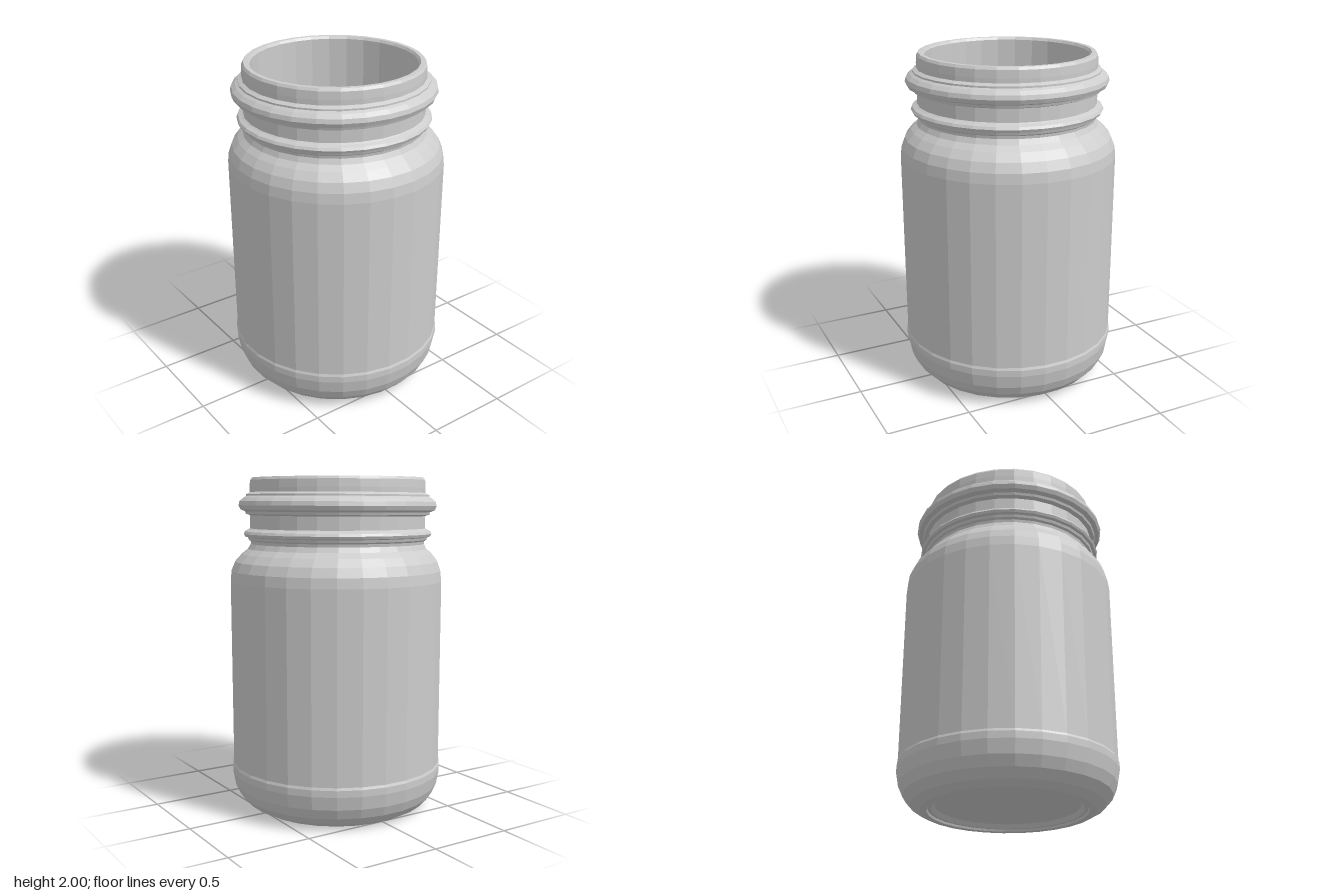
import * as THREE from 'three';

const SIDES = 28;
const NECK_X = -0.012; // the neck sits slightly off the body axis

export function createModel() {
  const group = new THREE.Group();
  const glass = new THREE.MeshStandardMaterial({ color: 0xcccccc });
  glass.flatShading = true;

  // Revolve [radius, height] pairs; everything above the shoulder shifts to the neck axis
  function revolve(name, profile, tilt = 0) {
    const points = profile.map(([r, y]) => new THREE.Vector2(r, y));
    const geometry = new THREE.LatheGeometry(points, SIDES, Math.PI / SIDES);
    const pos = geometry.attributes.position;
    for (let i = 0; i < pos.count; i++) {
      const x = pos.getX(i), y = pos.getY(i);
      pos.setX(i, x + NECK_X * THREE.MathUtils.smoothstep(y, 1.45, 1.65));
      pos.setY(i, y + tilt * x);
    }
    geometry.computeVertexNormals();
    const mesh = new THREE.Mesh(geometry, glass);
    mesh.name = name;
    group.add(mesh);
  }

  // Recessed underside with its standing ring
  revolve('base', [[0, 0.035], [0.42, 0.035], [0.44, 0.012], [0.46, 0.012], [0.465, 0], [0.505, 0]]);

  // Outer wall: rounded heel, faint step, straight side, shoulder
  revolve('outerWall', [
    [0.505, 0], [0.56, 0.03], [0.605, 0.08], [0.632, 0.14], [0.647, 0.22], [0.647, 0.26],
    [0.641, 0.275], [0.642, 1.39], [0.635, 1.45], [0.613, 1.505], [0.575, 1.55],
    [0.54, 1.58], [0.525, 1.61],
  ]);

  // Neck with a rolled lip at the mouth
  revolve('neck', [
    [0.525, 1.61], [0.53, 1.64], [0.53, 1.91], [0.53, 1.94], [0.527, 1.985],
    [0.517, 2], [0.492, 2], [0.481, 1.985],
  ]);

  // Inside: neck bore, hollow body and floor
  revolve('innerWall', [
    [0.481, 1.985], [0.481, 1.61], [0.50, 1.57], [0.555, 1.51], [0.585, 1.45], [0.595, 1.38],
    [0.595, 0.26], [0.575, 0.17], [0.52, 0.105], [0.43, 0.08], [0, 0.08],
  ]);

  // Raised beads round the neck
  revolve('upperBead', [
    [0.525, 1.775], [0.555, 1.785], [0.56, 1.8], [0.587, 1.81], [0.598, 1.835],
    [0.592, 1.86], [0.57, 1.88], [0.553, 1.89], [0.553, 1.9], [0.525, 1.915],
  ], 0.006);
  revolve('lowerBead', [
    [0.525, 1.625], [0.54, 1.635], [0.545, 1.65], [0.562, 1.655], [0.569, 1.67],
    [0.56, 1.685], [0.54, 1.695], [0.525, 1.705],
  ]);

  return group;
}
